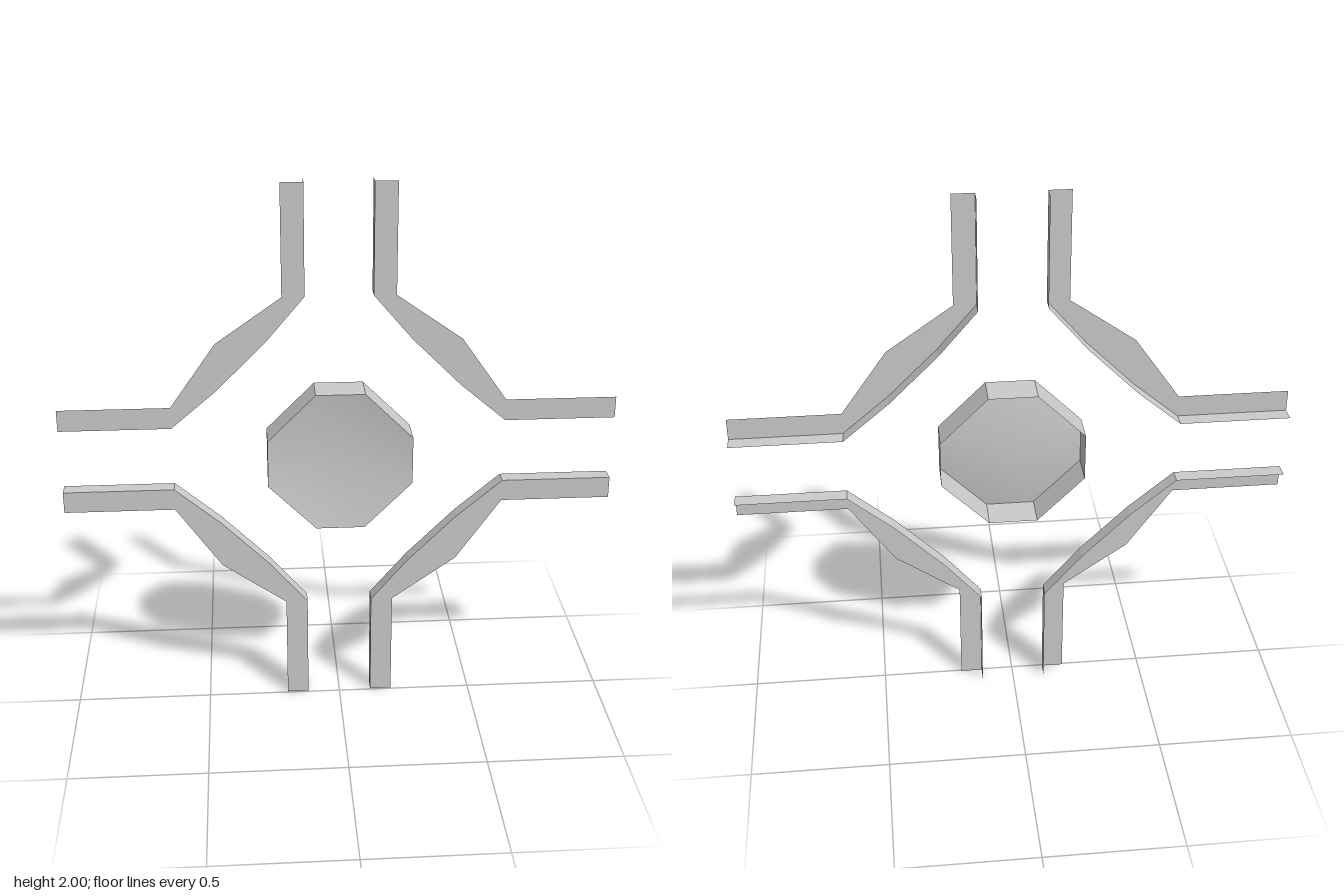
import * as THREE from 'three';

const CENTRE_Y = 1, BACK = -0.0625, FRONT = 0.0625, PLATE_Z = -0.005, DISH_DEPTH = 0.045;

const flatMat = new THREE.MeshStandardMaterial({ color: 0xcccccc, flatShading: true, side: THREE.DoubleSide });
const smoothMat = new THREE.MeshStandardMaterial({ color: 0xcccccc, side: THREE.DoubleSide });

// Strip of quads between two rows of points
function ribbon(rowA, rowB) {
  const pos = [], idx = [], n = rowA.length;
  rowA.concat(rowB).forEach(p => pos.push(...p));
  for (let i = 0; i < n - 1; i++) idx.push(i, n + i, i + 1, i + 1, n + i, n + i + 1);
  const g = new THREE.BufferGeometry();
  g.setAttribute('position', new THREE.Float32BufferAttribute(pos, 3));
  g.setIndex(idx);
  const flat = g.toNonIndexed();
  flat.computeVertexNormals();
  return flat;
}

function addMesh(parent, name, geometry, material) {
  const mesh = new THREE.Mesh(geometry, material);
  mesh.name = name;
  parent.add(mesh);
}

// Angled corner rail: thin front plate plus a flange folded back along its inner edge
const INNER = [[0.12, 1], [0.12, 0.6], [0.26, 0.435], [0.435, 0.26], [0.6, 0.12], [1, 0.12]];
const OUTER = [[0.2, 1], [0.2, 0.6], [0.435, 0.435], [0.435, 0.435], [0.6, 0.2], [1, 0.2]];

function cornerRail(sx, sy) {
  const rail = new THREE.Group();
  const row = (pts, z) => {
    const r = pts.map(([x, y]) => [x * sx, y * sy, z]);
    return sx * sy > 0 ? r : r.reverse();
  };
  addMesh(rail, 'railPlate', ribbon(row(INNER, PLATE_Z), row(OUTER, PLATE_Z)), flatMat);
  addMesh(rail, 'railFlange', ribbon(row(INNER, BACK), row(INNER, PLATE_Z)), flatMat);
  rail.name = (sy > 0 ? 'upper' : 'lower') + (sx > 0 ? 'Left' : 'Right') + 'Rail';
  return rail;
}

// Octagonal hub, open at the back, with a shallow smooth dish on the front
function hub() {
  const group = new THREE.Group();
  group.name = 'hub';
  const a = 0.26, b = 0.088;
  const ring = [[a, -b], [a, b], [b, a], [-b, a], [-a, b], [-a, -b], [-b, -a], [b, -a]];
  const loop = z => [...ring, ring[0]].map(([x, y]) => [x, y, z]);
  addMesh(group, 'hubRim', ribbon(loop(FRONT), loop(BACK)), flatMat);

  const idx = [];
  for (let i = 0; i < 8; i++) idx.push(0, 1 + i, 1 + (i + 1) % 8);
  const dish = new THREE.BufferGeometry();
  const pos = [[0, 0, FRONT - DISH_DEPTH], ...ring.map(([x, y]) => [x, y, FRONT])].flat();
  dish.setAttribute('position', new THREE.Float32BufferAttribute(pos, 3));
  dish.setIndex(idx);
  dish.computeVertexNormals();
  addMesh(group, 'hubDish', dish, smoothMat);
  return group;
}

export function createModel() {
  const model = new THREE.Group();
  model.name = 'crossFrame';
  const body = new THREE.Group();
  body.name = 'frameBody';
  body.position.y = CENTRE_Y;
  for (const sx of [1, -1]) for (const sy of [1, -1]) body.add(cornerRail(sx, sy));
  body.add(hub());
  model.add(body);
  return model;
}
